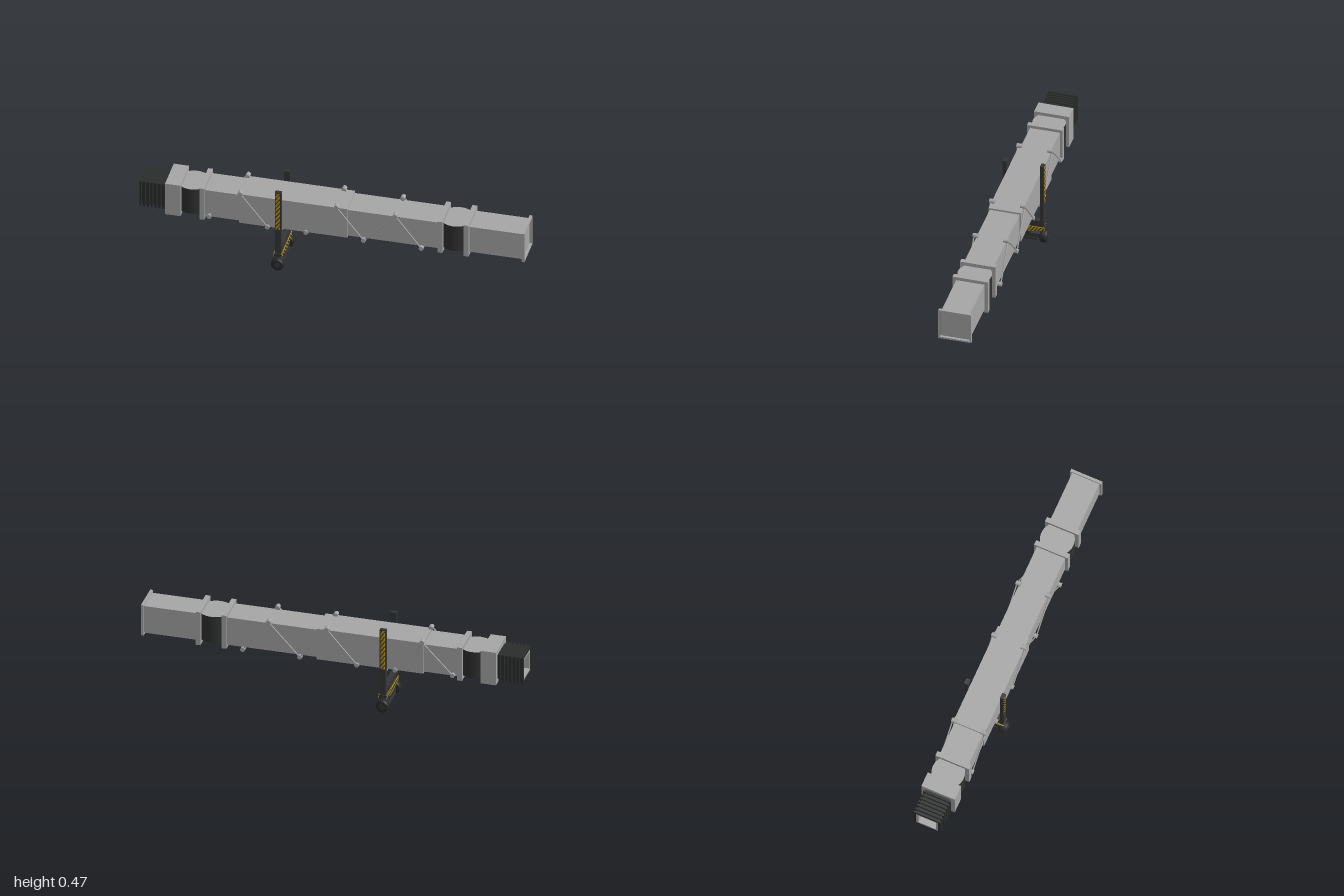
import * as THREE from 'three';

const mat = (name, color, extra = {}) => Object.assign(new THREE.MeshStandardMaterial({ color, ...extra }), { name });

export function createModel() {
  const root = new THREE.Group();
  root.name = 'boardingBridge';
  const grey = mat('panelGrey', 0xa6a6a6);
  const dark = mat('frameCharcoal', 0x343536);
  const rubber = mat('bellowsRubber', 0x2b2c2c, { flatShading: true, side: THREE.DoubleSide });
  const curtain = mat('curtainDark', 0x2f3030);
  const tyre = mat('tyreBlack', 0x282929);
  const yellow = mat('warningYellow', 0xb88e0c);
  const CY = 0.322; // centre height of the passage
  const PX = -0.274; // position of the drive column

  const add = (name, geo, material, x = 0, y = 0, z = 0, parent = root) => {
    const m = new THREE.Mesh(geo, material);
    m.name = name;
    m.position.set(x, y, z);
    parent.add(m);
    return m;
  };
  // box given by its limits in x and y, and half or full limits in z
  const box = (name, material, x0, x1, y0, y1, z0, z1, parent = root) =>
    add(name, new THREE.BoxGeometry(x1 - x0, y1 - y0, z1 - z0), material,
      (x0 + x1) / 2, (y0 + y1) / 2, (z0 + z1) / 2, parent);
  const passage = (name, x0, x1, hy, hz) => box(name, grey, x0, x1, CY - hy, CY + hy, -hz, hz);
  const square = h => [[-h, -h], [h, -h], [h, h], [-h, h]].map(p => new THREE.Vector2(...p));
  // square frame along x, open in the middle
  const frame = (name, x0, x1, outer, inner) => {
    const s = new THREE.Shape(square(outer));
    s.holes.push(new THREE.Path(square(inner)));
    const g = new THREE.ExtrudeGeometry(s, { depth: x1 - x0, bevelEnabled: false });
    g.rotateY(Math.PI / 2);
    return add(name, g, grey, x0, CY, 0);
  };

  // passage sections, cab and collars
  passage('cab', -0.863, -0.783, 0.093, 0.092);
  passage('innerTunnel', -0.66, -0.47, 0.078, 0.078);
  passage('outerTunnel', -0.48, 0.08, 0.087, 0.085);
  passage('middleTunnel', 0.07, 0.56, 0.078, 0.078);
  passage('fixedWalkway', 0.7, 0.987, 0.076, 0.074);
  for (const x of [-0.685, 0.55, 0.686]) passage('collar', x, x + 0.026, 0.094, 0.093);
  frame('endFrame', 0.985, 1, 0.086, 0.077);

  // round turning joints with pale roof and floor
  for (const [x, r] of [[-0.735, 0.085], [0.631, 0.088]]) {
    add('turningJoint', new THREE.CylinderGeometry(r, r, 0.149, 40), [curtain, grey, grey], x, CY, 0);
  }

  // pleated bellows at the cab mouth, a four-sided lathe with zigzag profile
  const pleats = 7, x0 = -1, x1 = -0.86, prof = [new THREE.Vector2(0.06 * Math.SQRT2, x0)];
  for (let i = 0; i < pleats; i++) {
    const step = (x1 - x0) / pleats, a = x0 + i * step;
    for (const [t, h] of [[0, 0.075], [0.45, 0.075], [0.6, 0.066], [0.85, 0.066]]) {
      prof.push(new THREE.Vector2(h * Math.SQRT2, a + t * step));
    }
  }
  prof.push(new THREE.Vector2(0.075 * Math.SQRT2, x1));
  const bellows = new THREE.LatheGeometry(prof, 4, Math.PI / 4);
  bellows.rotateZ(-Math.PI / 2);
  add('bellows', bellows, rubber, 0, CY, 0);
  frame('bellowsLiner', -0.999, -0.86, 0.061, 0.049);

  // bracing rods between round pegs on both sides
  const T = 0.415, B = 0.236;
  const braces = [
    [[-0.635, 0.25], [-0.475, T], [-0.333, B]],
    [[-0.133, B], [0.025, T], [0.166, B], [0.33, T - 0.004], [0.465, B]],
  ];
  const pegGeo = new THREE.CylinderGeometry(0.012, 0.012, 0.028, 16).rotateX(Math.PI / 2);
  for (const s of [-1, 1]) {
    for (const line of braces) {
      line.forEach(([x, y], i) => {
        add('bracePeg', pegGeo, grey, x, y, s * 0.081);
        if (!i) return;
        const [px, py] = line[i - 1];
        const rod = add('braceRod', new THREE.CylinderGeometry(0.0035, 0.0035, Math.hypot(x - px, y - py), 8),
          grey, (x + px) / 2, (y + py) / 2, s * 0.089);
        rod.rotation.z = Math.atan2(y - py, x - px) - Math.PI / 2;
      });
    }
  }

  // keep the part of a convex outline where u - v*0.7 lies on one side of d
  const clip = (pts, d, sign) => {
    const f = p => sign * (p[0] - p[1] * 0.7 - d), out = [];
    pts.forEach((p, i) => {
      const q = pts[(i + 1) % pts.length], a = f(p), b = f(q);
      if (a >= 0) out.push(p);
      if (a * b < 0) out.push([p[0] + (q[0] - p[0]) * a / (a - b), p[1] + (q[1] - p[1]) * a / (a - b)]);
    });
    return out;
  };
  // thin yellow plate with slanted dark stripes
  const hazardPlate = (name, outline, pitch, width) => {
    const g = new THREE.Group();
    g.name = name;
    const slab = (n, pts, depth, m) => add(n, new THREE.ExtrudeGeometry(
      new THREE.Shape(pts.map(p => new THREE.Vector2(...p))), { depth, bevelEnabled: false }), m, 0, 0, 0, g);
    slab('platePanel', outline, 0.004, yellow);
    for (let d = -0.5; d < 0.3; d += pitch) {
      const pts = clip(clip(outline, d, 1), d + width, -1);
      if (pts.length > 2) slab('plateStripe', pts, 0.0048, dark);
    }
    root.add(g);
    return g;
  };

  // lifting columns with warning strips
  for (const s of [-1, 1]) {
    const z = [s * 0.088, s * 0.107].sort((a, b) => a - b);
    box('column', dark, PX - 0.016, PX + 0.016, 0.08, 0.466, ...z);
    const strip = hazardPlate('columnStrip', [[-0.011, 0.242], [0.011, 0.242], [0.011, 0.46], [-0.011, 0.46]], 0.019, 0.006);
    strip.position.set(PX, 0, s * 0.105);
    strip.rotation.y = s > 0 ? 0 : Math.PI;
  }
  box('tunnelCradle', grey, PX - 0.014, PX + 0.014, 0.217, 0.237, -0.088, 0.088);
  box('columnCrossbeam', dark, PX - 0.014, PX + 0.014, 0.08, 0.128, -0.09, 0.09);

  // tapered bumper, striped on both faces
  const taper = [[-0.112, 0.095], [-0.112, 0.078], [-0.015, 0.06], [0.015, 0.06], [0.112, 0.078], [0.112, 0.095]];
  const core = new THREE.ExtrudeGeometry(new THREE.Shape(taper.map(p => new THREE.Vector2(...p))),
    { depth: 0.036, bevelEnabled: false });
  core.translate(0, 0, -0.018).rotateY(Math.PI / 2);
  add('bumperCore', core, dark, PX, 0, 0);
  for (const s of [-1, 1]) {
    const plate = hazardPlate('bumperPlate', taper, 0.017, 0.006);
    plate.position.set(PX + s * 0.018, 0, 0);
    plate.rotation.y = s * Math.PI / 2;
  }

  // drive axle
  box('steeringPivot', dark, PX - 0.02, PX + 0.02, 0.045, 0.068, -0.04, 0.04);
  box('axleHousing', dark, PX - 0.014, PX + 0.014, 0.022, 0.048, -0.09, 0.09);
  box('axleTray', dark, PX - 0.018, PX + 0.018, 0.012, 0.024, -0.074, 0.074);

  // rounded wheels with hubs
  const tyreProfile = [[0, -0.018], [0.027, -0.018], [0.032, -0.015], [0.034, -0.01],
    [0.034, 0.01], [0.032, 0.015], [0.027, 0.018], [0, 0.018]].map(p => new THREE.Vector2(...p));
  const wheelGeo = new THREE.LatheGeometry(tyreProfile, 28).rotateX(Math.PI / 2);
  const hubGeo = new THREE.CylinderGeometry(0.014, 0.014, 0.04, 20).rotateX(Math.PI / 2);
  for (const s of [-1, 1]) {
    add('wheel', wheelGeo, tyre, PX, 0.034, s * 0.107);
    add('wheelHub', hubGeo, dark, PX, 0.034, s * 0.107);
  }
  return root;
}
